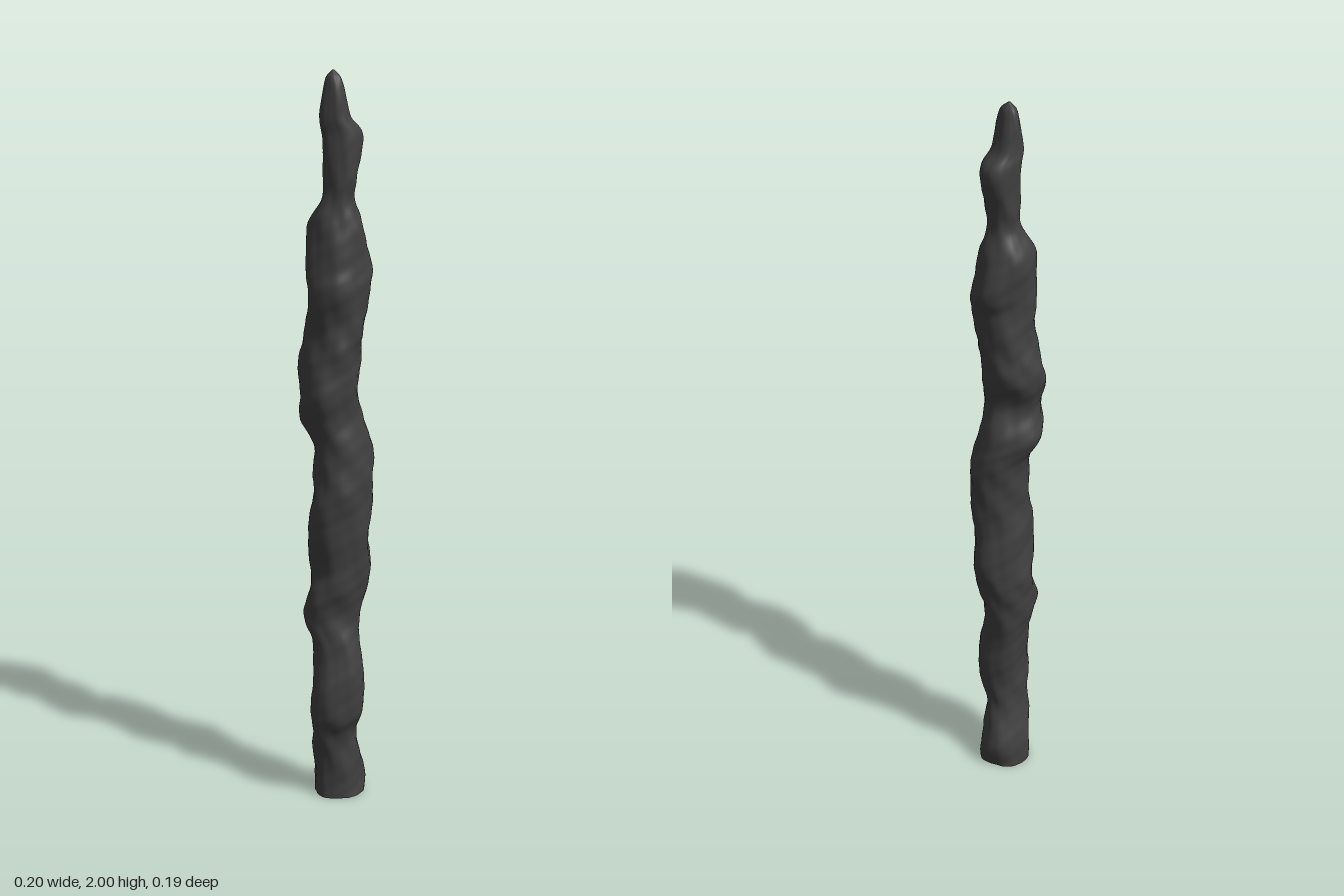
import * as THREE from 'three';

// Extents of the column at each height: y, xMin, xMax, zMin, zMax
const SECTIONS = [
  [0, -.055, .08, -.066, .067],
  [.07, -.055, .084, -.067, .063],
  [.18, -.068, .056, -.038, .062],
  [.25, -.08, .062, -.033, .087],
  [.34, -.074, .072, -.037, .09],
  [.44, -.063, .064, -.053, .075],
  [.52, -.083, .073, -.064, .055],
  [.6, -.074, .088, -.07, .073],
  [.67, -.066, .1, -.069, .078],
  [.78, -.079, .09, -.06, .087],
  [.88, -.072, .092, -.05, .094],
  [1.0, -.064, .097, -.058, .085],
  [1.08, -.09, .077, -.086, .074],
  [1.16, -.102, .054, -.062, .083],
  [1.25, -.088, .067, -.094, .084],
  [1.34, -.073, .074, -.076, .085],
  [1.44, -.084, .083, -.062, .094],
  [1.5, -.079, .096, -.066, .083],
  [1.6, -.067, .074, -.067, .072],
  [1.67, -.039, .046, -.032, .057],
  [1.73, -.033, .05, -.032, .063],
  [1.83, -.038, .073, -.034, .057],
  [1.88, -.044, .036, -.029, .05],
  [1.94, -.036, .02, -.024, .045],
  [1.98, -.027, .009, -.014, .033],
  [2, -.012, -.006, .007, .012],
];
const RINGS = 220, SIDES = 56;

// Small lumps, periodic around the column
function lump(a, y) {
  return 0.035 * Math.sin(3 * a + 13 * y + 2 * Math.sin(9 * y))
    + 0.025 * Math.sin(5 * a - 31 * y + 1.5 * Math.sin(17 * y))
    + 0.02 * Math.sin(2 * a + 47 * y)
    + 0.014 * Math.sin(9 * a + 59 * y) * Math.sin(4 * a - 71 * y);
}

export function createModel() {
  const group = new THREE.Group();
  group.name = 'lumpyColumn';
  const material = new THREE.MeshStandardMaterial({ color: 0x404040 });

  // Wandering centre line and the half-widths along it
  const centre = new THREE.CatmullRomCurve3(SECTIONS.map(([y, x0, x1, z0, z1]) =>
    new THREE.Vector3((x0 + x1) / 2, y, (z0 + z1) / 2)), false, 'catmullrom', 0.5);
  const radii = new THREE.CatmullRomCurve3(SECTIONS.map(([y, x0, x1, z0, z1]) =>
    new THREE.Vector3((x1 - x0) / 2, y, (z1 - z0) / 2)), false, 'catmullrom', 0.5);

  // Skin built ring by ring, closed with a single tip point
  const positions = [], index = [];
  for (let i = 0; i <= RINGS; i++) {
    const c = centre.getPoint(i / RINGS), r = radii.getPoint(i / RINGS);
    for (let j = 0; j < SIDES; j++) {
      const a = (j / SIDES) * Math.PI * 2, k = 1 + lump(a, c.y);
      positions.push(c.x + r.x * k * Math.cos(a), c.y, c.z + r.z * k * Math.sin(a));
      if (i === RINGS) continue;
      const p = i * SIDES + j, q = i * SIDES + (j + 1) % SIDES;
      index.push(p, p + SIDES, q, q, p + SIDES, q + SIDES);
    }
  }
  const tip = positions.length / 3, last = RINGS * SIDES;
  positions.push(-0.009, 2, 0.009);
  for (let j = 0; j < SIDES; j++) index.push(last + j, tip, last + (j + 1) % SIDES);

  const skin = new THREE.BufferGeometry();
  skin.setAttribute('position', new THREE.Float32BufferAttribute(positions, 3));
  skin.setIndex(index);
  skin.computeVertexNormals();
  const column = new THREE.Mesh(skin, material);
  column.name = 'column';
  group.add(column);

  // Flat underside
  const outline = [];
  for (let j = 0; j < SIDES; j++) outline.push(new THREE.Vector2(positions[j * 3], positions[j * 3 + 2]));
  const base = new THREE.Mesh(new THREE.ShapeGeometry(new THREE.Shape(outline)).rotateX(Math.PI / 2), material);
  base.name = 'base';
  group.add(base);

  return group;
}
